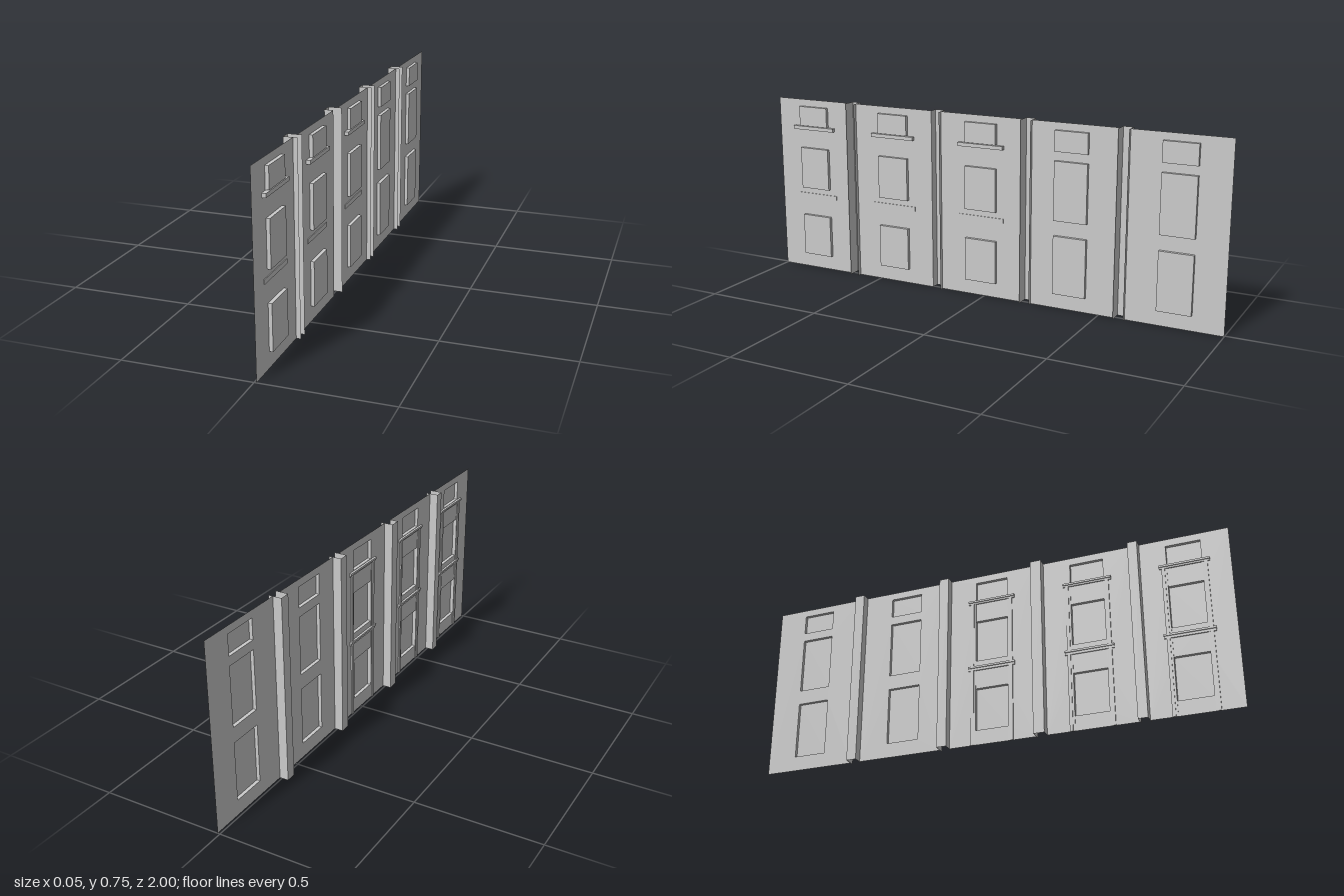
import * as THREE from 'three';

const HEIGHT = 0.75, WALL_X = 0.009, PANE_X = 0.0228, EDGE_X = 0.0267;
const WINDOW_HALF = 0.069;
const material = new THREE.MeshStandardMaterial({ color: 0xcccccc, side: THREE.DoubleSide, flatShading: true });

function add(parent, name, geometry) {
  const mesh = new THREE.Mesh(geometry, material);
  mesh.name = name;
  parent.add(mesh);
  return mesh;
}

// Box given by its limits, keeping only the listed faces (0..5 = +x -x +y -y +z -z)
function openBox([x0, x1], [y0, y1], [z0, z1], faces = [0, 1, 2, 3, 4, 5]) {
  const g = new THREE.BoxGeometry(x1 - x0, y1 - y0, z1 - z0);
  g.translate((x0 + x1) / 2, (y0 + y1) / 2, (z0 + z1) / 2);
  const all = Array.from(g.index.array);
  g.setIndex(faces.flatMap(f => all.slice(f * 6, f * 6 + 6)));
  g.clearGroups();
  return g;
}

// Moulding: an x-y profile run along z
function moulding(points, zMid, half) {
  const shape = new THREE.Shape(points.map(p => new THREE.Vector2(...p)));
  const g = new THREE.ExtrudeGeometry(shape, { depth: half * 2, bevelEnabled: false });
  return g.translate(0, 0, zMid - half);
}

const CORNICE = [[0, 0.635], [0, 0.627], [0.004, 0.627], [0.004, 0.62], [0.0245, 0.62], [0.0245, 0.635]];
const SILL = [[0, 0.337], [0, 0.329], [0.004, 0.329], [0.004, 0.319], [0.012, 0.319], [0.012, 0.337]];

const PLAIN_ROWS = [[0.062, 0.3], [0.362, 0.6], [0.637, 0.72]];
const FRAMED_ROWS = [[0.062, 0.24], [0.362, 0.54], [0.637, 0.72]];

// Wall bays from the back end to the front end
const BAYS = [
  { z: [-1, -0.609], mid: -0.806, framed: false },
  { z: [-0.567, -0.208], mid: -0.377, framed: false },
  { z: [-0.167, 0.197], mid: 0.014, framed: true },
  { z: [0.242, 0.606], mid: 0.424, framed: true },
  { z: [0.645, 1], mid: 0.819, framed: true },
];

function createBay({ z, mid, framed }) {
  const bay = new THREE.Group();
  bay.name = 'wallBay';
  const rows = framed ? FRAMED_ROWS : PLAIN_ROWS;
  const a = mid - WINDOW_HALF, b = mid + WINDOW_HALF;

  // Thin wall with window openings
  const outline = (z0, z1, y0, y1) => [[z0, y0], [z1, y0], [z1, y1], [z0, y1]].map(p => new THREE.Vector2(...p));
  const wall = new THREE.Shape(outline(z[0], z[1], 0, HEIGHT));
  for (const [y0, y1] of rows) wall.holes.push(new THREE.Path(outline(a, b, y0, y1)));
  add(bay, 'wall', new THREE.ShapeGeometry(wall).rotateY(-Math.PI / 2).translate(WALL_X, 0, 0));

  // Window recesses: pane and four reveals, open on the street side
  for (const row of rows)
    add(bay, 'windowRecess', openBox([WALL_X, PANE_X], row, [a, b], [0, 2, 3, 4, 5]));

  if (framed) {
    add(bay, 'cornice', moulding(CORNICE, mid, 0.1));
    add(bay, 'sill', moulding(SILL, mid, 0.1));
    // Stepped jambs on both sides of the windows
    for (const s of [-1, 1]) {
      const span = (p, q) => [mid + s * p, mid + s * q].sort((m, n) => m - n);
      add(bay, 'jamb', openBox([0.004, WALL_X], [0, 0.62], span(0.077, 0.09)));
      add(bay, 'innerJamb', openBox([0.007, WALL_X], [0, 0.62], span(WINDOW_HALF, 0.077)));
    }
  }
  return bay;
}

export function createModel() {
  const model = new THREE.Group();
  model.name = 'facade';
  BAYS.forEach(bay => model.add(createBay(bay)));

  // Pilasters: open channels filling the gaps between bays
  for (let i = 0; i < BAYS.length - 1; i++) {
    const gap = [BAYS[i].z[1], BAYS[i + 1].z[0]];
    const g = openBox([-EDGE_X, EDGE_X], [0, HEIGHT], gap, [1, 4, 5]);
    if (i === 2) {
      // One flange stops at the wall
      const p = g.attributes.position;
      for (let k = 16; k < 20; k++) if (p.getX(k) > 0) p.setX(k, WALL_X);
    }
    add(model, 'pilaster', g);
  }
  return model;
}
